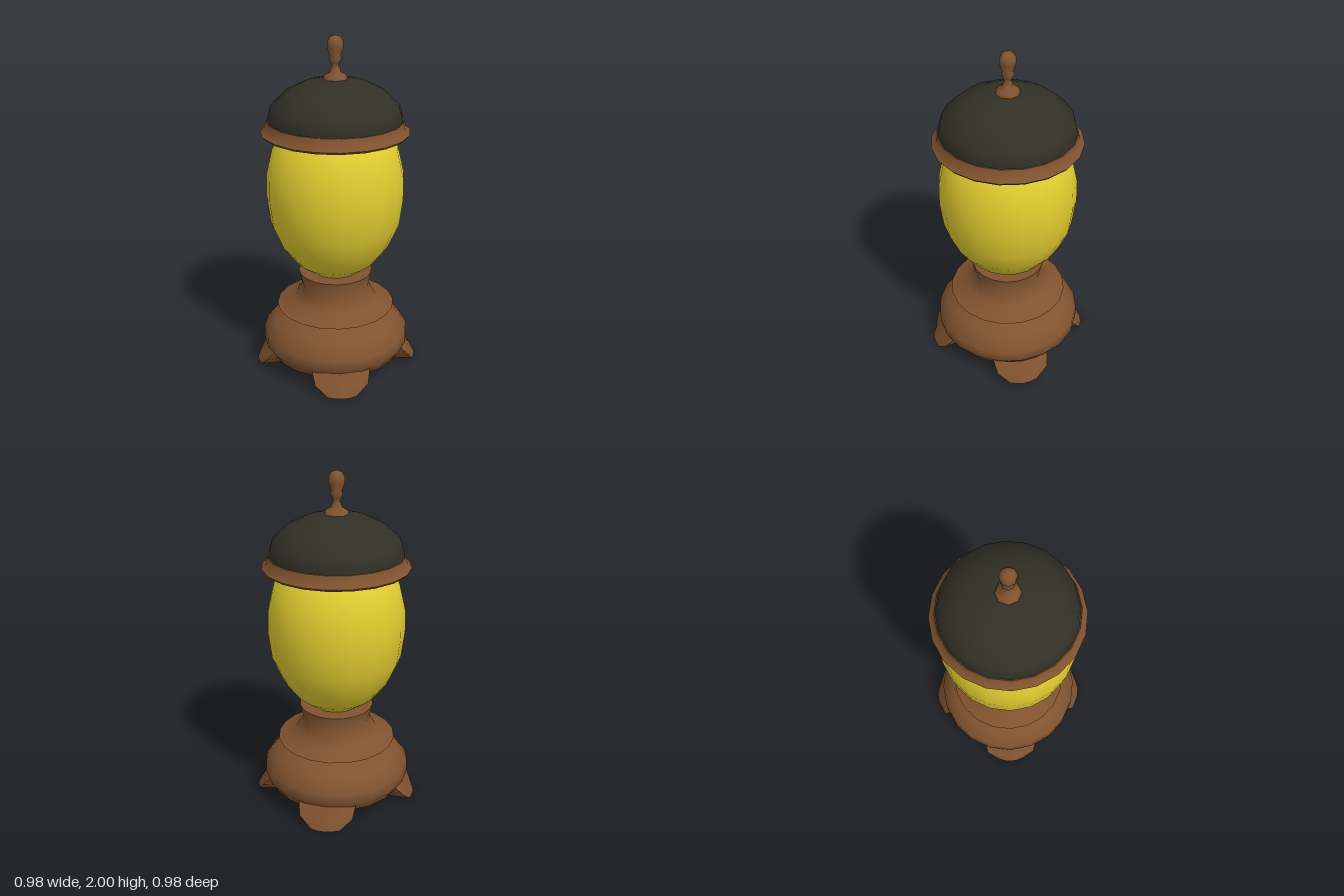
import * as THREE from 'three';
import { toCreasedNormals } from 'three/addons/utils/BufferGeometryUtils.js';

const bronze = new THREE.MeshStandardMaterial({ color: 0x80532f, side: THREE.DoubleSide });
bronze.name = 'bronze';
const yellow = new THREE.MeshStandardMaterial({ color: 0xe0cb2f });
yellow.name = 'yellow glass';
const dark = new THREE.MeshStandardMaterial({ color: 0x303026, side: THREE.DoubleSide });
dark.name = 'dark enamel';

// Turned part from a [radius, height] profile, listed bottom to top
function turned(name, profile, material, sides = 20, crease = 0.8) {
  const points = profile.map(([r, y]) => new THREE.Vector2(r, y));
  const mesh = new THREE.Mesh(toCreasedNormals(new THREE.LatheGeometry(points, sides), crease), material);
  mesh.name = name;
  mesh.position.x = -0.006;
  return mesh;
}

// Flared foot lofted through three sections, pointing to +z
function footGeometry() {
  const sections = [
    { y: 0, w: 0.085, front: 0.492, drop: 0.022, back: 0.35 },
    { y: 0.065, w: 0.155, front: 0.453, drop: 0.014, back: 0.34 },
    { y: 0.13, w: 0.17, front: 0.425, drop: 0.045, back: 0.3 },
  ];
  const positions = [], index = [], n = 7;
  for (const s of sections) {
    for (const f of [-1, -0.5, 0, 0.5, 1]) positions.push(f * s.w, s.y, s.front - s.drop * f * f);
    positions.push(s.w * 0.85, s.y, s.back, -s.w * 0.85, s.y, s.back);
  }
  for (let k = 0; k < sections.length - 1; k++) {
    for (let i = 0; i < n; i++) {
      const a = k * n + i, b = k * n + (i + 1) % n;
      index.push(a, b, b + n, a, b + n, a + n);
    }
  }
  for (let i = 1; i < n - 1; i++) index.push(0, i + 1, i); // sole
  const g = new THREE.BufferGeometry();
  g.setAttribute('position', new THREE.Float32BufferAttribute(positions, 3));
  g.setIndex(index);
  return toCreasedNormals(g, 0.8);
}

export function createModel() {
  const model = new THREE.Group();
  model.name = 'lantern';

  // Pedestal with a sharp ledge and a socket for the globe
  model.add(turned('pedestal', [
    [0, 0.065], [0.37, 0.065], [0.4, 0.085], [0.412, 0.112], [0.439, 0.145], [0.439, 0.217],
    [0.376, 0.296], [0.291, 0.349], [0.354, 0.381], [0.249, 0.418], [0.2, 0.503],
    [0.22, 0.598], [0.1, 0.598],
  ], bronze));

  // Four feet
  const foot = footGeometry();
  for (let i = 0; i < 4; i++) {
    const mesh = new THREE.Mesh(foot, bronze);
    mesh.name = 'foot';
    mesh.rotation.y = i * Math.PI / 2;
    model.add(mesh);
  }

  // Egg-shaped globe
  model.add(turned('globe', [
    [0, 0.57], [0.14, 0.6], [0.235, 0.67], [0.32, 0.78], [0.38, 0.92], [0.4, 1.08],
    [0.397, 1.21], [0.36, 1.365], [0.297, 1.45], [0.19, 1.53], [0, 1.57],
  ], yellow, 20, 1.2));

  // Lid: dome, rim and finial
  model.add(turned('dome', [
    [0.375, 1.47], [0.385, 1.53], [0.365, 1.608], [0.28, 1.688],
    [0.175, 1.738], [0.085, 1.758], [0, 1.765],
  ], dark, 20, 1.2));
  model.add(turned('rim', [
    [0.375, 1.48], [0.37, 1.452], [0.415, 1.452], [0.425, 1.465],
    [0.4, 1.485], [0.39, 1.53], [0.375, 1.532],
  ], bronze));
  model.add(turned('finial', [
    [0.07, 1.755], [0.062, 1.782], [0.03, 1.798], [0.028, 1.815], [0.018, 1.83], [0.026, 1.85],
    [0.037, 1.868], [0.03, 1.888], [0.046, 1.93], [0.046, 1.962], [0.03, 1.99], [0, 2],
  ], bronze, 8, 1.2));

  return model;
}
